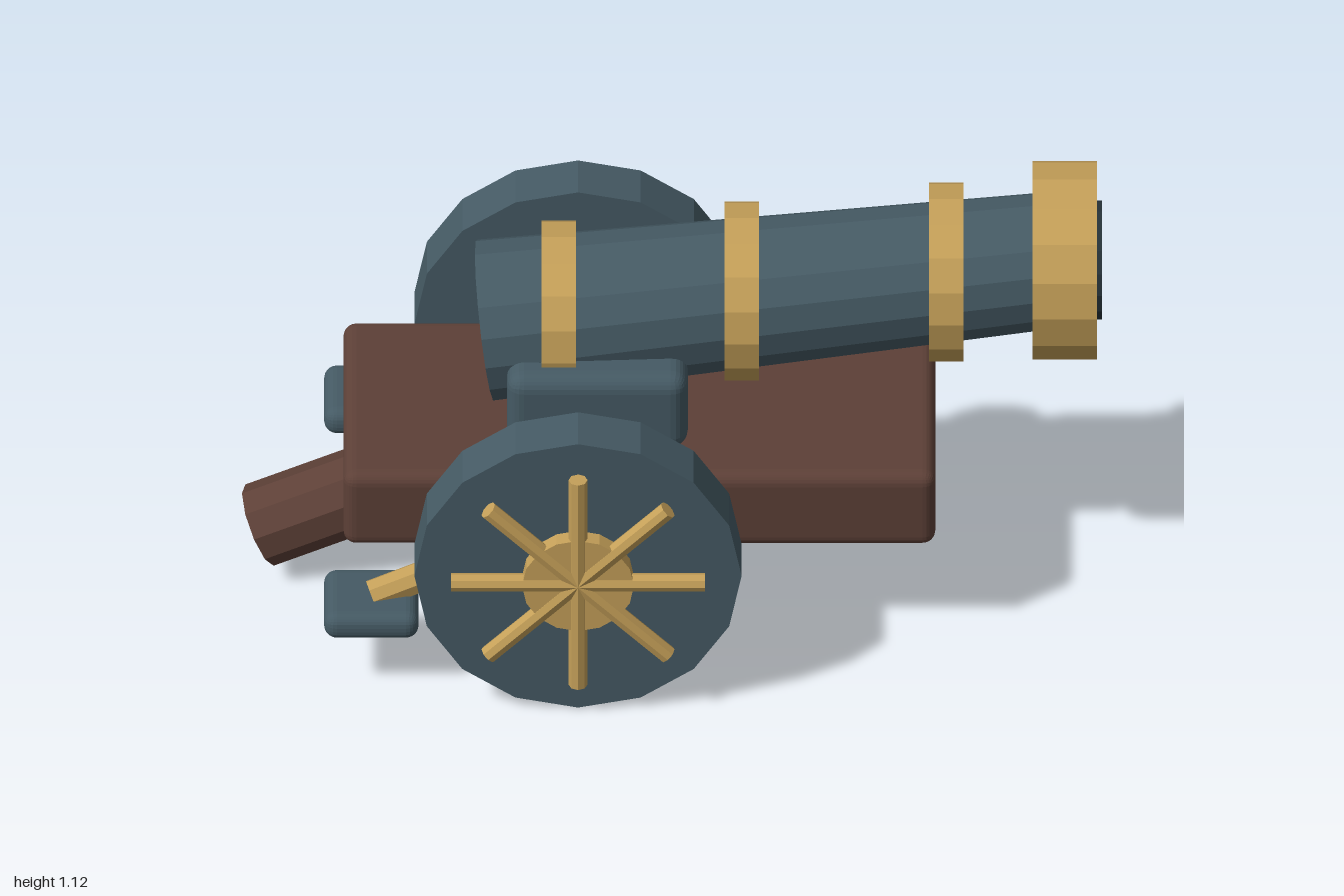
import * as THREE from 'three';
import { RoundedBoxGeometry } from 'three/addons/geometries/RoundedBoxGeometry.js';

const material = (name, color, flatShading) => {
  const m = new THREE.MeshStandardMaterial({ color, flatShading });
  m.name = name;
  return m;
};

export function createModel() {
  const model = new THREE.Group();
  model.name = 'fieldCannon';
  const steel = material('steel', 0x455a64, true);
  const brass = material('brass', 0xc5a059, true);
  const wood = material('wood', 0x5d4037, true);
  const dark = material('boreDark', 0x263238, true);

  function add(name, geometry, mat, parent = model) {
    const mesh = new THREE.Mesh(geometry, mat);
    mesh.name = name;
    parent.add(mesh);
    return mesh;
  }

  // Faceted rod between two points, with its own radius at each end
  function rod(name, from, to, r0, r1, sides, mat, parent, turn = 0) {
    const a = new THREE.Vector3(...from), b = new THREE.Vector3(...to);
    const dir = b.clone().sub(a);
    const geo = new THREE.CylinderGeometry(r1, r0, dir.length(), sides).rotateY(turn);
    const mesh = add(name, geo, mat, parent);
    mesh.position.copy(a).add(b).multiplyScalar(0.5);
    mesh.quaternion.setFromUnitVectors(new THREE.Vector3(0, 1, 0), dir.normalize());
    return mesh;
  }

  // Rounded block given by its lower and upper corners
  function block(name, lo, hi, radius, mat) {
    const size = hi.map((v, i) => v - lo[i]);
    const mesh = add(name, new RoundedBoxGeometry(...size, 3, radius), mat);
    mesh.position.set(...hi.map((v, i) => (v + lo[i]) / 2));
    return mesh;
  }

  // Carriage
  block('carriageBed', [-0.765, 0.28, -0.31], [0.61, 0.485, 0.31], 0.03, wood);
  block('barrelCradle', [-0.385, 0.515, -0.26], [0.035, 0.725, 0.26], 0.04, steel);
  rod('trail', [-0.96, 0.117, 0], [-0.38, 0.375, 0], 0.1, 0.1, 10, wood, model, Math.PI / 2);

  // Tapered barrel, raised towards the muzzle
  rod('barrel', [-0.435, 0.709, 0], [0.9, 0.884, 0], 0.19, 0.16, 16, steel);

  // Upright bands around the barrel: centre x, centre y, radius, width
  const bands = [
    ['rearBand', -0.265, 0.738, 0.21, 0.08],
    ['middleBand', 0.16, 0.793, 0.21, 0.08],
    ['frontBand', 0.635, 0.848, 0.21, 0.08],
    ['muzzleRing', 0.91, 0.882, 0.233, 0.15],
  ];
  for (const [name, x, y, r, w] of bands)
    rod(name, [x - w / 2, y, 0], [x + w / 2, y, 0], r, r, 16, brass);
  rod('bore', [0.92, 0.882, 0], [0.997, 0.882, 0], 0.14, 0.14, 16, dark);

  // Wheels, outriggers and feet on both sides
  for (const side of [1, -1]) {
    const wheel = new THREE.Group();
    wheel.name = side > 0 ? 'leftWheel' : 'rightWheel';
    wheel.position.set(-0.22, 0.38, 0);
    model.add(wheel);
    rod('wheelDisc', [0, 0, 0.43 * side], [0, 0, 0.555 * side], 0.38, 0.38, 16, steel, wheel);
    rod('hub', [0, 0, 0.55 * side], [0, 0, 0.595 * side], 0.13, 0.13, 16, brass, wheel);
    for (let i = 0; i < 4; i++) {
      const x = 0.295 * Math.cos(i * Math.PI / 4), y = 0.295 * Math.sin(i * Math.PI / 4);
      rod('spoke', [-x, -y, 0.58 * side], [x, y, 0.58 * side], 0.022, 0.022, 8, brass, wheel);
    }
    rod('outrigger', [-0.7, 0.212, 0.403 * side], [-0.05, 0.416, 0.266 * side], 0.037, 0.037, 8, brass);
    const z = [0.295 * side, 0.505 * side].sort((a, b) => a - b);
    block('outriggerFoot', [-0.81, 0.15, z[0]], [-0.59, 0.22, z[1]], 0.03, steel);
  }
  return model;
}
